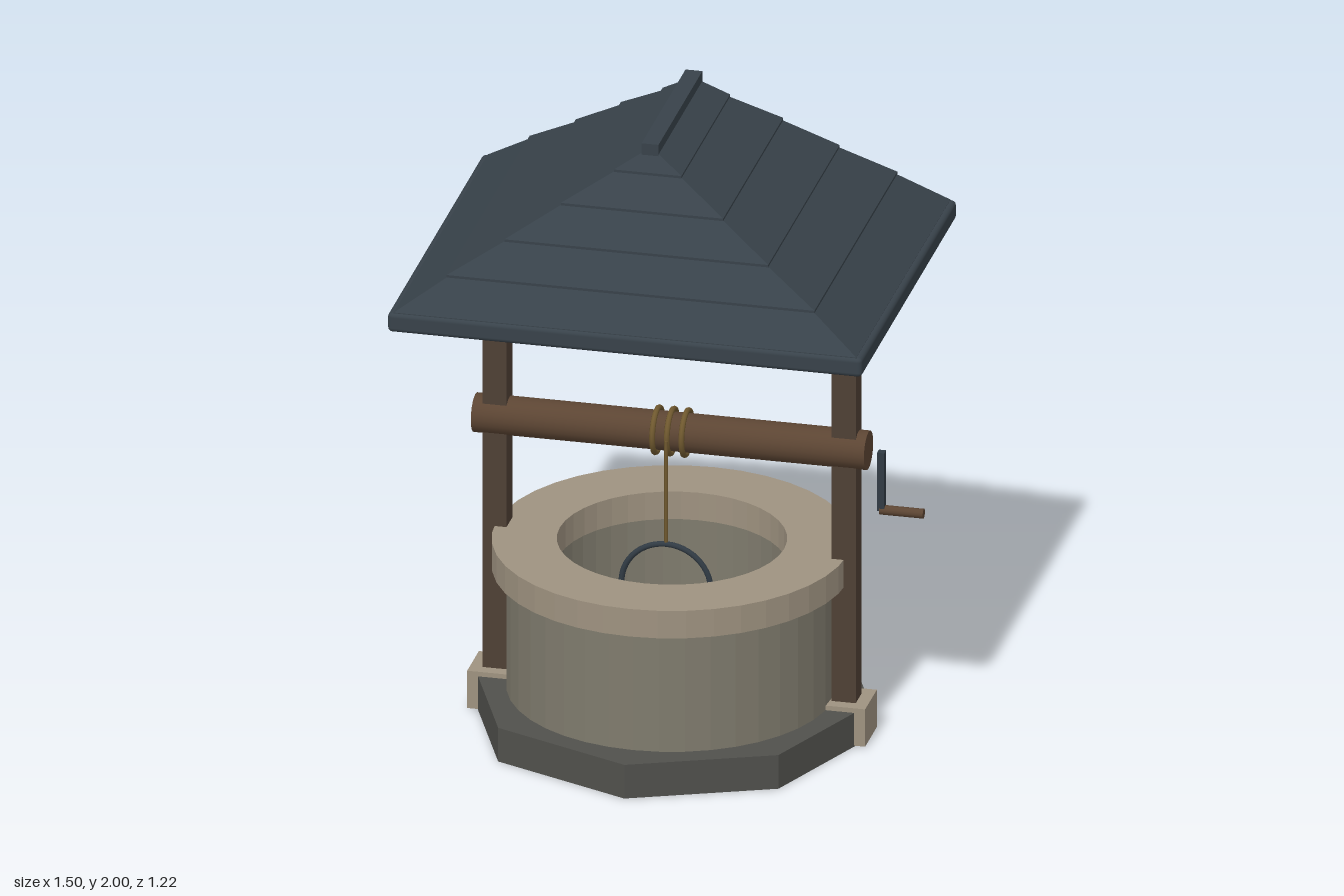
import * as THREE from 'three';
import { RoundedBoxGeometry } from 'three/addons/geometries/RoundedBoxGeometry.js';

const mat = (name, color, side = THREE.FrontSide) => {
  const m = new THREE.MeshStandardMaterial({ color, side });
  m.name = name;
  return m;
};

// Flat-sided ring standing on y0
function ring(outer, inner, y0, y1) {
  const s = new THREE.Shape().absarc(0, 0, outer, 0, Math.PI * 2, false);
  s.holes.push(new THREE.Path().absarc(0, 0, inner, 0, Math.PI * 2, true));
  const g = new THREE.ExtrudeGeometry(s, { depth: y1 - y0, bevelEnabled: false, curveSegments: 20 });
  return g.rotateX(-Math.PI / 2).translate(0, y0, 0);
}

// Closed solid through rectangular sections [halfX, y, halfZ], bottom to top
function rectLoft(sections) {
  const pos = [];
  const rings = sections.map(([x, y, z]) => [[x, y, z], [x, y, -z], [-x, y, -z], [-x, y, z]]);
  const quad = (a, b, c, d) => pos.push(...a, ...b, ...c, ...a, ...c, ...d);
  for (let i = 0; i < rings.length - 1; i++) {
    for (let k = 0; k < 4; k++) {
      const n = (k + 1) % 4;
      quad(rings[i][k], rings[i][n], rings[i + 1][n], rings[i + 1][k]);
    }
  }
  const bottom = rings[0], top = rings[rings.length - 1];
  quad(bottom[3], bottom[2], bottom[1], bottom[0]);
  quad(...top);
  const g = new THREE.BufferGeometry();
  g.setAttribute('position', new THREE.Float32BufferAttribute(pos, 3));
  g.computeVertexNormals();
  return g;
}

export function createModel() {
  const stone = mat('wall stone', 0x7f7b6d);
  const paleStone = mat('pale stone', 0x9e9280);
  const darkStone = mat('dark stone', 0x50504c);
  const postWood = mat('post wood', 0x4f4035);
  const axleWood = mat('axle wood', 0x5c4533);
  const bucketWood = mat('bucket wood', 0x5f4937, THREE.DoubleSide);
  const rope = mat('rope', 0x70592f);
  const iron = mat('iron', 0x313b44);
  const slate = mat('roof slate', 0x38424a);

  const model = new THREE.Group();
  model.name = 'well';
  const body = new THREE.Group();
  body.name = 'wellBody';
  body.position.x = -0.025;
  model.add(body);
  const add = (name, geometry, material, x = 0, y = 0, z = 0) => {
    const m = new THREE.Mesh(geometry, material);
    m.name = name;
    m.position.set(x, y, z);
    body.add(m);
    return m;
  };

  // Stonework
  const base = new THREE.CylinderGeometry(0.61, 0.61, 0.11, 8).toNonIndexed();
  base.computeVertexNormals();
  add('base', base, darkStone, 0, 0.055);
  add('wall', ring(0.497, 0.35, 0.11, 0.5), stone);
  add('rim', ring(0.54, 0.345, 0.5, 0.59), paleStone);

  // Posts and their footings
  for (const s of [1, -1]) {
    add('postFooting', new THREE.BoxGeometry(0.15, 0.122, 0.15), paleStone, s * 0.5375, 0.064);
    add('post', new THREE.BoxGeometry(0.074, 1.4, 0.074), postWood, s * 0.5375, 0.77);
  }

  // Axle with rope windings and the hanging rope
  const axleY = 0.94;
  add('axle', new THREE.CylinderGeometry(0.06, 0.06, 1.21, 20).rotateZ(Math.PI / 2), axleWood, 0, axleY);
  for (const i of [-1, 0, 1]) {
    add('ropeWinding', new THREE.TorusGeometry(0.068, 0.009, 8, 28).rotateY(Math.PI / 2), rope, i * 0.045, axleY);
  }
  add('hangingRope', new THREE.CylinderGeometry(0.006, 0.006, 0.34, 8), rope, 0, 0.77, 0.075);

  // Crank
  add('crankArm', new THREE.BoxGeometry(0.022, 0.19, 0.025), iron, 0.645, 0.845);
  add('crankHandle', new THREE.CylinderGeometry(0.015, 0.015, 0.135, 12).rotateZ(Math.PI / 2), axleWood, 0.7075, 0.75);

  // Bucket hanging inside the well
  const bucket = [[0, 0.15], [0.105, 0.15], [0.135, 0.37], [0.12, 0.37], [0.094, 0.17], [0, 0.17]];
  add('bucket', new THREE.LatheGeometry(bucket.map(p => new THREE.Vector2(...p)), 20), bucketWood, 0, 0, 0.075);
  for (const [y, r] of [[0.2, 0.114], [0.32, 0.13]]) {
    add('bucketBand', new THREE.TorusGeometry(r, 0.006, 6, 24).rotateX(Math.PI / 2), iron, 0, y, 0.075);
  }
  const bail = [new THREE.Vector3(0.138, 0.34, 0.075)];
  for (let i = 0; i <= 10; i++) {
    const a = i / 10 * Math.PI;
    bail.push(new THREE.Vector3(0.138 * Math.cos(a), 0.465 + 0.138 * Math.sin(a), 0.075));
  }
  bail.push(new THREE.Vector3(-0.138, 0.34, 0.075));
  add('bucketHandle', new THREE.TubeGeometry(new THREE.CatmullRomCurve3(bail), 40, 0.009, 8), iron);

  // Stepped hip roof: each course overhangs the one below
  add('eave', new RoundedBoxGeometry(1.46, 0.062, 1.22, 2, 0.014), slate, 0, 1.481);
  const courses = [[0.712, 1.505, 0.602], [0.566, 1.612, 0.53], [0.406, 1.714, 0.457], [0.25, 1.818, 0.384], [0.104, 1.911, 0.311]];
  courses.forEach(([x, y, z], i) => {
    const [nx, ny, nz] = courses[i + 1] || [0.03, 1.965, 0.282];
    add('roofCourse', rectLoft([[x, y, z], [x, y + 0.008, z], [nx - 0.012, ny + 0.008, nz - 0.008]]), slate);
  });
  add('ridgeCap', new THREE.BoxGeometry(0.052, 0.05, 0.562), slate, 0, 1.975);

  return model;
}
